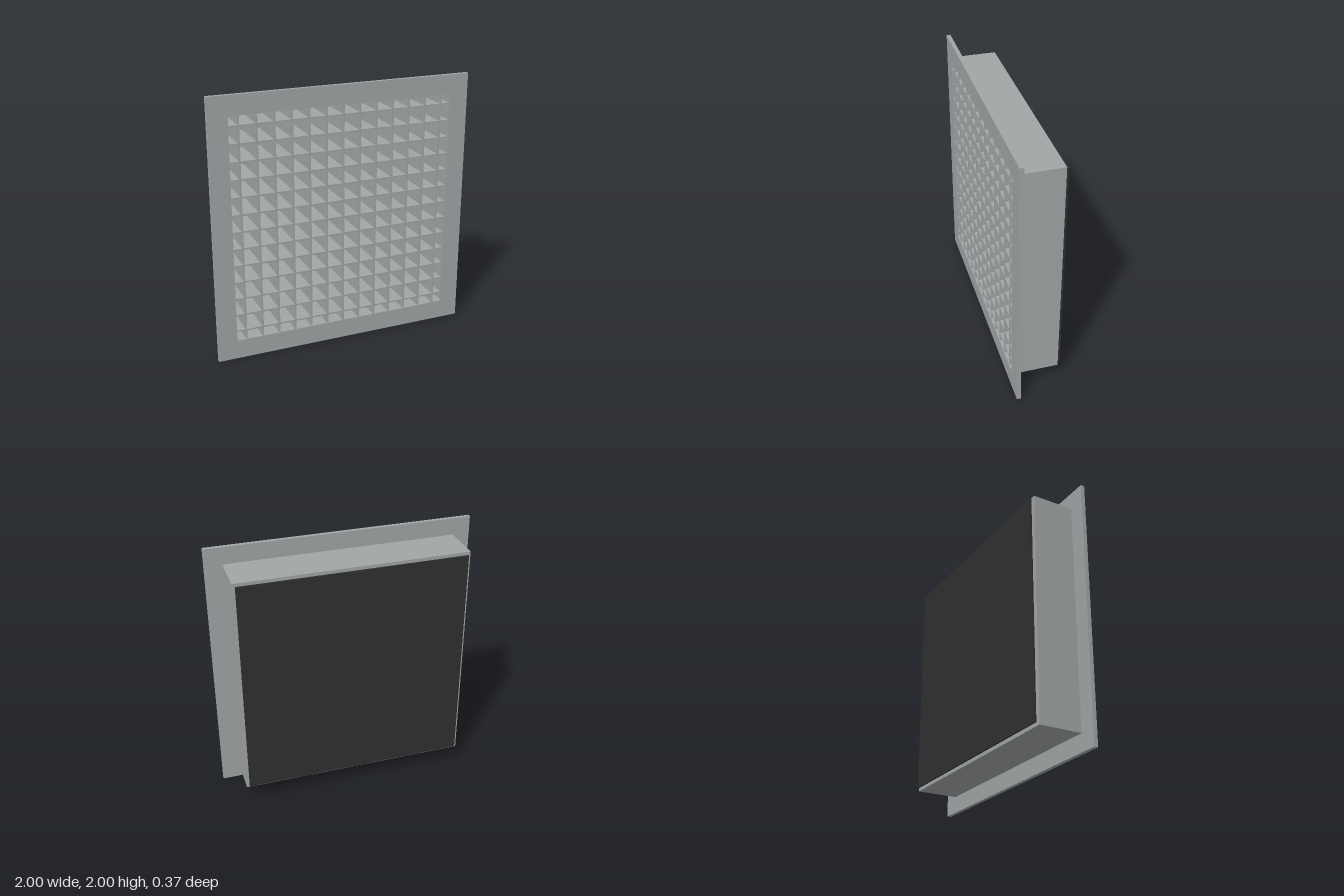
import * as THREE from 'three';

const CY = 1; // height of the centre
const OPEN = 0.853; // half size of the opening

// Square outline of the given half size, with optional rounded corners
function square(Type, h, r = 0) {
  const s = new Type();
  if (!r) {
    s.moveTo(-h, -h).lineTo(h, -h).lineTo(h, h).lineTo(-h, h).closePath();
    return s;
  }
  s.moveTo(-h + r, -h).lineTo(h - r, -h).quadraticCurveTo(h, -h, h, -h + r);
  s.lineTo(h, h - r).quadraticCurveTo(h, h, h - r, h);
  s.lineTo(-h + r, h).quadraticCurveTo(-h, h, -h, h - r);
  s.lineTo(-h, -h + r).quadraticCurveTo(-h, -h, -h + r, -h);
  return s;
}

// Square ring between two depths
function ring(half, z0, z1) {
  const s = square(THREE.Shape, half);
  s.holes.push(square(THREE.Path, OPEN, 0.012));
  const g = new THREE.ExtrudeGeometry(s, { depth: z1 - z0, bevelEnabled: false, curveSegments: 3 });
  return g.translate(0, CY, z0);
}

function slab(w, h, z0, z1, x = 0, y = CY) {
  return new THREE.BoxGeometry(w, h, z1 - z0).translate(x, y, (z0 + z1) / 2);
}

export function createModel() {
  const model = new THREE.Group();
  model.name = 'ventGrille';
  const metal = new THREE.MeshStandardMaterial({ color: 0xa0a5a6 });
  metal.name = 'grey metal';
  const dark = new THREE.MeshStandardMaterial({ color: 0x303030 });
  dark.name = 'dark filter';

  const add = (name, geometry, material, parent = model) => {
    const mesh = new THREE.Mesh(geometry, material);
    mesh.name = name;
    parent.add(mesh);
  };

  // Front flange, neck behind it and closed back
  add('flange', ring(1, 0.157, 0.187), metal);
  add('neck', ring(0.87, -0.155, 0.157), metal);
  add('backPlate', slab(1.74, 1.74, -0.165, -0.155), metal);

  // Egg-crate grid: crossing blades, evenly spaced
  const grid = new THREE.Group();
  grid.name = 'grid';
  model.add(grid);
  const thick = 0.012, pitch = 0.13;
  for (let i = -6; i <= 6; i++) {
    add('verticalBlade', slab(thick, OPEN * 2, -0.155, 0.183, i * pitch), metal, grid);
    add('horizontalBlade', slab(OPEN * 2, thick, -0.155, 0.182, 0, CY + i * pitch), metal, grid);
  }

  // Thin panel standing just off the back
  add('filterPanel', slab(1.7, 1.7, -0.187, -0.176), dark);

  return model;
}
